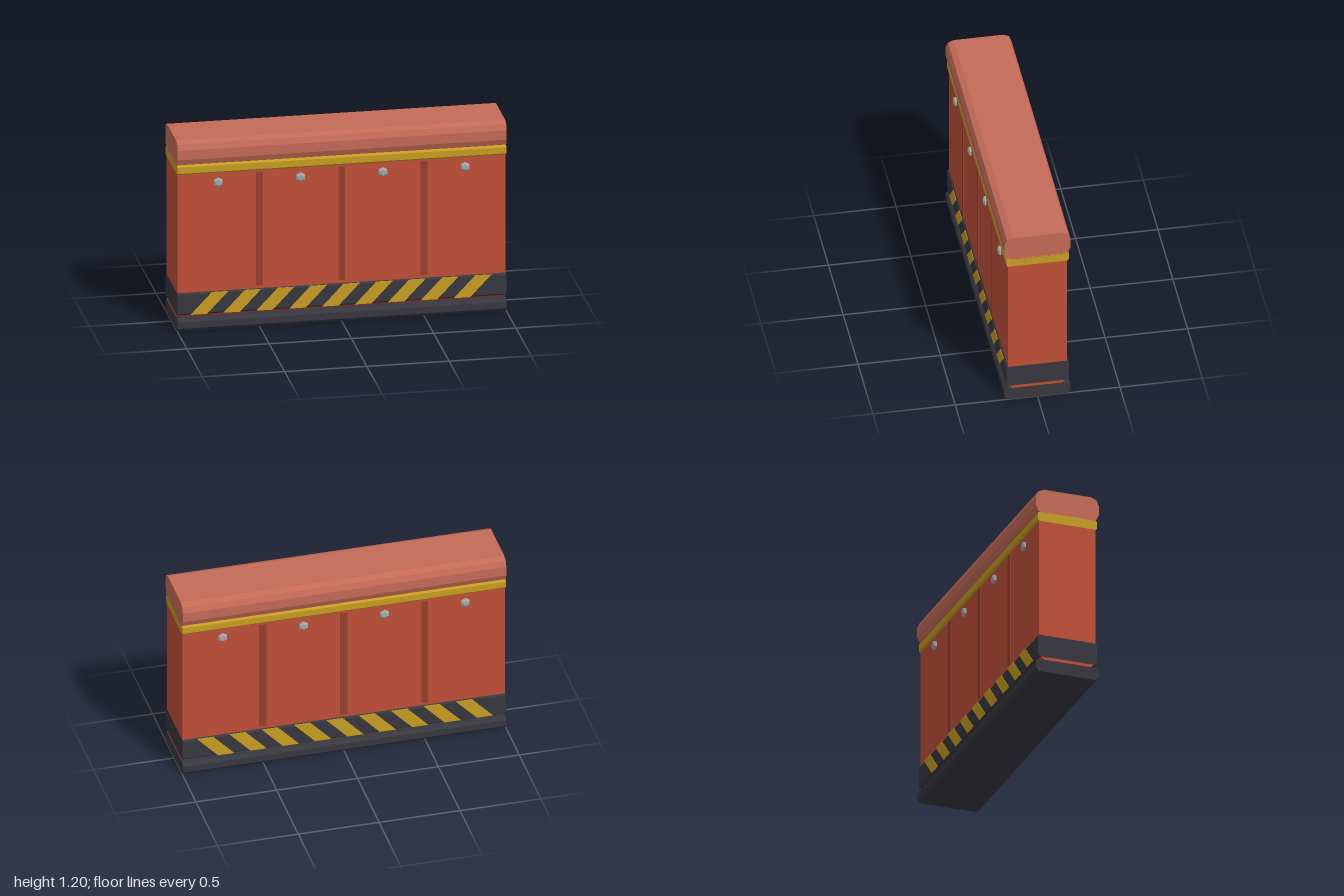
import * as THREE from 'three';

const mat = (name, color) => new THREE.MeshStandardMaterial({ name, color, flatShading: true });

export function createModel() {
  const red = mat('red paint', 0xc04f38);
  const lightRed = mat('light red cap', 0xc56b57);
  const darkRed = mat('dark red groove', 0x983f2e);
  const dark = mat('dark rubber', 0x38373f);
  const yellow = mat('yellow paint', 0xc89e22);
  const steel = mat('steel', 0xa6a9ac);

  const model = new THREE.Group();
  model.name = 'barrierWall';

  const add = (name, geometry, material, parent = model) => {
    const mesh = new THREE.Mesh(geometry, material);
    mesh.name = name;
    parent.add(mesh);
    return mesh;
  };

  // Bar along x; corner lists [inset from the side, inset from top or bottom]
  const bar = (name, material, halfZ, y0, y1, corner, length = 2) => {
    const side = [
      ...corner.map(([a, b]) => [halfZ - a, y0 + b]),
      ...corner.map(([a, b]) => [halfZ - a, y1 - b]).reverse(),
    ];
    const outline = [...side, ...side.map(([z, y]) => [-z, y]).reverse()];
    const shape = new THREE.Shape(outline.map(([z, y]) => new THREE.Vector2(z, y)));
    const geometry = new THREE.ExtrudeGeometry(shape, { depth: length, bevelEnabled: false });
    geometry.translate(0, 0, -length / 2).rotateY(Math.PI / 2);
    return add(name, geometry, material);
  };
  const chamfer = (c) => [[c, 0], [0, c]];

  // Stacked main parts, with the body ends a hair behind the bands
  bar('base', dark, 0.2, 0, 0.08, chamfer(0.02));
  bar('body', red, 0.18, 0.08, 1.04, chamfer(0.03), 1.996);
  bar('hazardBand', dark, 0.19, 0.1, 0.24, chamfer(0.01));
  bar('trim', yellow, 0.19, 0.99, 1.05, chamfer(0.01));
  bar('cap', lightRed, 0.2, 1.04, 1.2, [[0.05, 0], [0.015, 0.015], [0, 0.05]]);

  // Slanted stripe plate
  const stripeShape = new THREE.Shape([
    new THREE.Vector2(0, 0.102), new THREE.Vector2(0.1, 0.102),
    new THREE.Vector2(0.23, 0.238), new THREE.Vector2(0.13, 0.238),
  ]);
  const stripeGeometry = new THREE.ExtrudeGeometry(stripeShape, { depth: 0.003, bevelEnabled: false });

  // Six-sided bolt head with a bevelled face
  const boltGeometry = new THREE.LatheGeometry(
    [[0.03, 0], [0.03, 0.017], [0.017, 0.025], [0, 0.025]].map(([r, y]) => new THREE.Vector2(r, y)), 6);
  boltGeometry.rotateX(Math.PI / 2);

  for (const s of [1, -1]) {
    const face = new THREE.Group();
    face.name = s > 0 ? 'frontDetails' : 'backDetails';
    model.add(face);

    // Panel seams
    for (const x of [-0.5, 0, 0.5]) {
      add('panelSeam', new THREE.BoxGeometry(0.04, 0.72, 0.01), darkRed, face).position.set(x, 0.62, s * 0.181);
    }
    // Bolts
    for (const x of [-0.75, -0.25, 0.25, 0.75]) {
      const bolt = add('bolt', boltGeometry, steel, face);
      bolt.position.set(x, 0.93, s * 0.173);
      if (s < 0) bolt.rotation.y = Math.PI;
    }
    // Hazard stripes, leaning toward +x on both faces
    for (let i = 0; i < 9; i++) {
      add('hazardStripe', stripeGeometry, yellow, face)
        .position.set(-0.92 + i * 0.2, 0, s > 0 ? 0.189 : -0.192);
    }
  }
  return model;
}
